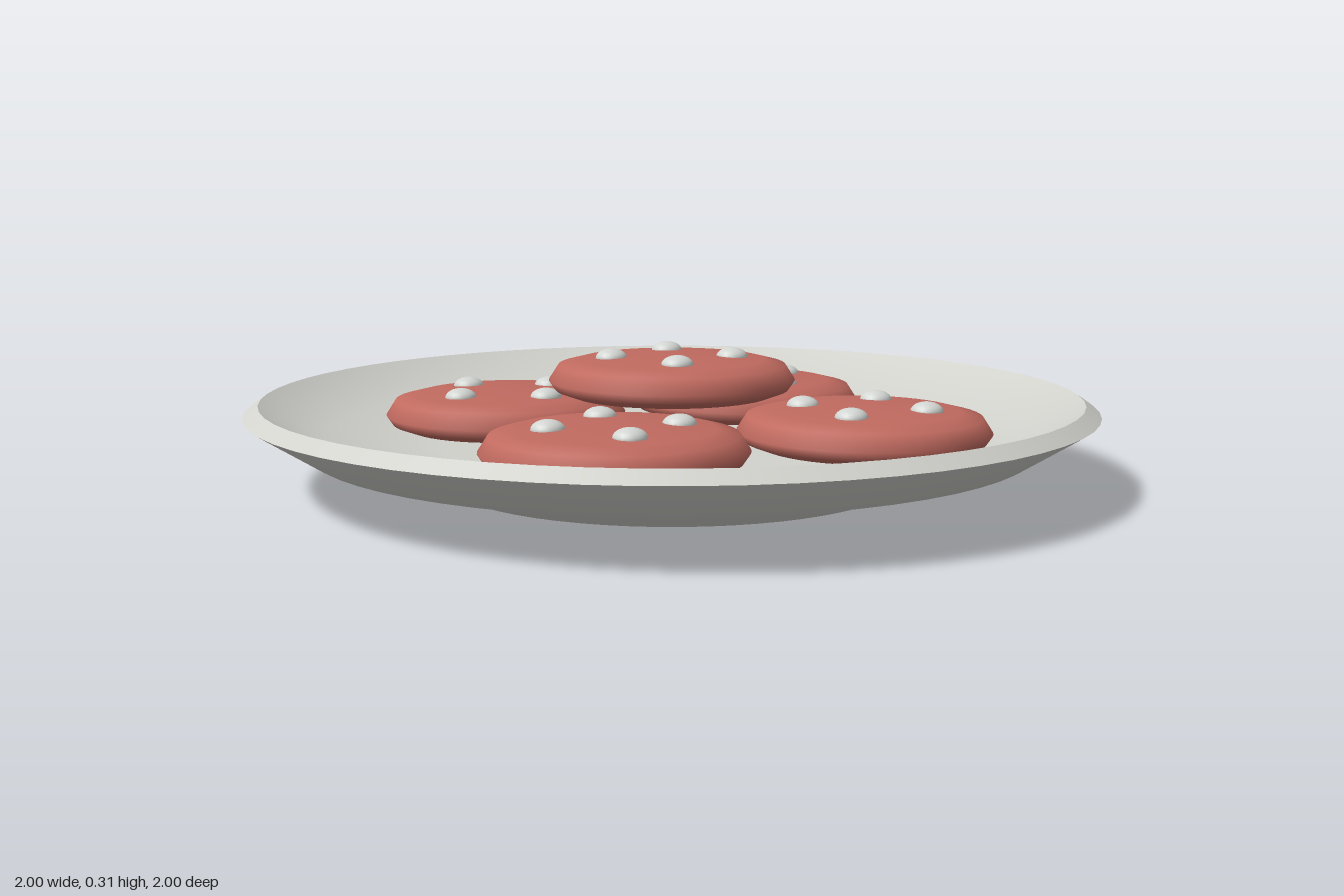
import * as THREE from 'three';

const plateGrey = new THREE.MeshStandardMaterial({ name: 'plate grey', color: 0xd2d2cd });
const biscuitRed = new THREE.MeshStandardMaterial({ name: 'biscuit red', color: 0xc06a5f });
const chipGrey = new THREE.MeshStandardMaterial({ name: 'chip grey', color: 0xd2d5d2 });

const lathe = (points, segments) =>
  new THREE.LatheGeometry(points.map(([r, y]) => new THREE.Vector2(r, y)), segments);

function addMesh(parent, name, geometry, material) {
  const mesh = new THREE.Mesh(geometry, material);
  mesh.name = name;
  parent.add(mesh);
  return mesh;
}

// Plate: smooth underside and dish, with a crisp bevelled rim between them
function createPlate() {
  const plate = new THREE.Group();
  plate.name = 'plate';
  const underside = [[0, 0], [0.55, 0], [0.6, 0.05], [0.86, 0.09], [1, 0.18]];
  const rim = [[1, 0.18], [0.965, 0.205]];
  const dish = [[0.965, 0.205], [0.82, 0.12], [0.55, 0.085], [0, 0.085]];
  addMesh(plate, 'underside', lathe(underside, 64), plateGrey);
  addMesh(plate, 'rim', lathe(rim, 64), plateGrey);
  addMesh(plate, 'dish', lathe(dish, 64), plateGrey);
  return plate;
}

// Cookie: rounded disc with four flattened chips set in a square
const cookieGeometry = lathe(
  [[0, 0], [0.24, 0], [0.28, 0.015], [0.295, 0.037], [0.272, 0.073], [0.22, 0.086], [0.1, 0.092], [0, 0.094]], 48);
const chipGeometry = new THREE.SphereGeometry(0.038, 20, 12);

function createCookie(x, y, z, turn) {
  const cookie = new THREE.Group();
  cookie.name = 'cookie';
  cookie.position.set(x, y, z);
  addMesh(cookie, 'biscuit', cookieGeometry, biscuitRed);
  for (let i = 0; i < 4; i++) {
    const angle = THREE.MathUtils.degToRad(turn + i * 90);
    const chip = addMesh(cookie, 'chip', chipGeometry, chipGrey);
    chip.position.set(0.145 * Math.cos(angle), 0.088, 0.145 * Math.sin(angle));
    chip.scale.y = 0.6;
  }
  return cookie;
}

export function createModel() {
  const model = new THREE.Group();
  model.name = 'plateOfCookies';
  model.add(createPlate());
  // Four cookies on the dish and one stacked on top: x, y, z, turn in degrees
  const cookies = [
    [-0.115, 0.1, -0.405, 8],
    [0.43, 0.1, -0.19, 65],
    [0.19, 0.1, 0.385, 32],
    [-0.385, 0.1, 0.19, 0],
    [0, 0.2, 0, 42],
  ];
  for (const cookie of cookies) model.add(createCookie(...cookie));
  return model;
}
